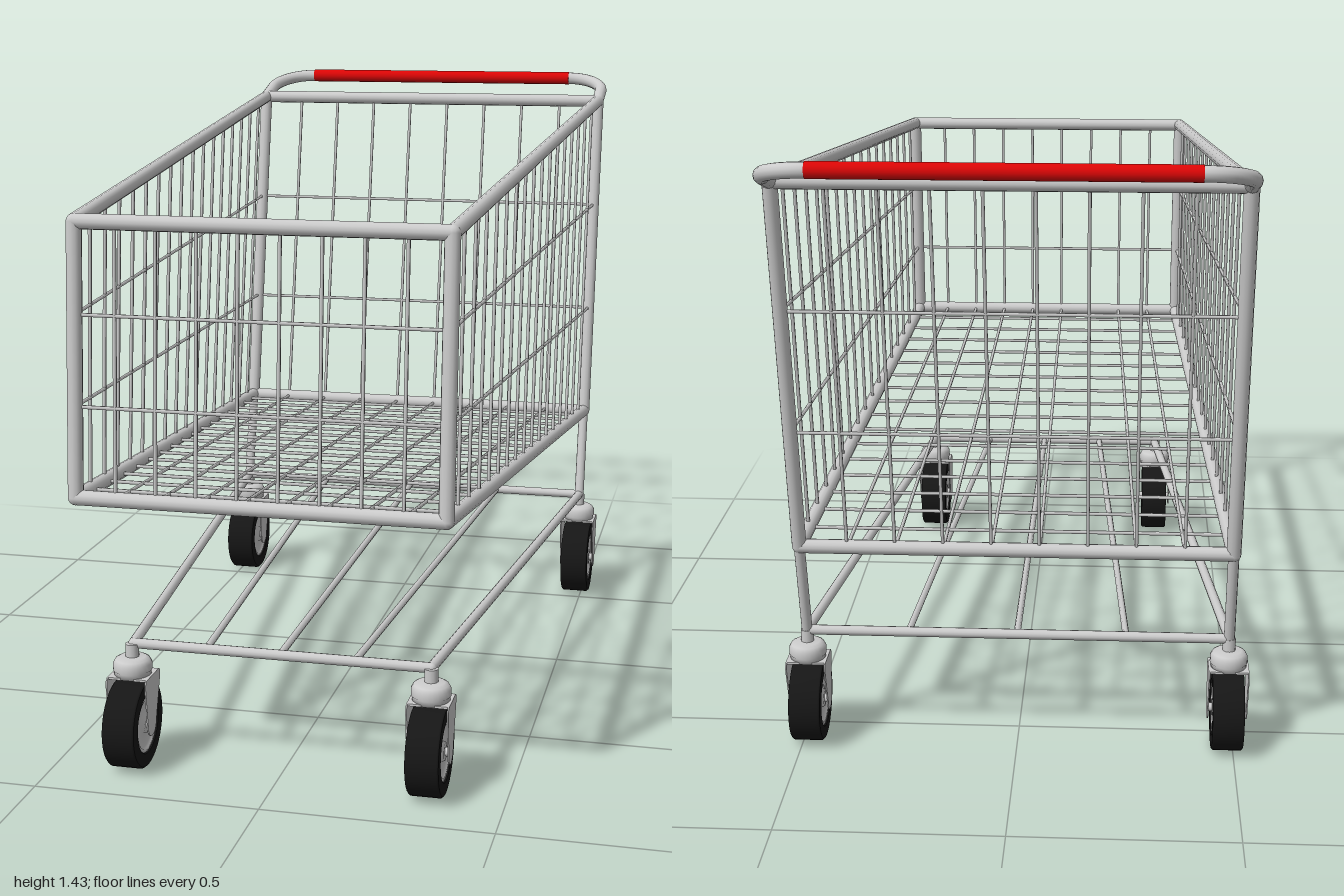
import * as THREE from 'three';
import { mergeGeometries } from 'three/addons/utils/BufferGeometryUtils.js';

const steel = new THREE.MeshStandardMaterial({ color: 0xcccccc });
const rubber = new THREE.MeshStandardMaterial({ color: 0x161616 });
const red = new THREE.MeshStandardMaterial({ color: 0xdd0606 });
const V = (x, y, z) => new THREE.Vector3(x, y, z);
const UP = V(0, 1, 0);

function mesh(name, geometry, material = steel) {
  const m = new THREE.Mesh(geometry, material);
  m.name = name;
  return m;
}

// Straight round bar between two points
function rod(a, b, r, sides = 12) {
  const d = b.clone().sub(a);
  const g = new THREE.CylinderGeometry(r, r, d.length(), sides);
  g.applyQuaternion(new THREE.Quaternion().setFromUnitVectors(UP, d.normalize()));
  const mid = a.clone().add(b).multiplyScalar(0.5);
  return g.translate(mid.x, mid.y, mid.z);
}

function ball(p, r) {
  return new THREE.SphereGeometry(r, 12, 8).translate(p.x, p.y, p.z);
}

// Wire grid across four corners: a-b is one edge, d-c the opposite one
function wirePanel(name, a, b, c, d, across, along) {
  const parts = [];
  for (let i = 1; i <= across; i++) {
    const t = i / (across + 1);
    parts.push(rod(a.clone().lerp(b, t), d.clone().lerp(c, t), 0.0042, 6));
  }
  for (let i = 1; i <= along; i++) {
    const t = i / (along + 1);
    parts.push(rod(a.clone().lerp(d, t), b.clone().lerp(c, t), 0.0042, 6));
  }
  return mesh(name, mergeGeometries(parts));
}

function makeBasket() {
  const basket = new THREE.Group();
  basket.name = 'basket';
  const corners = (s) => ({
    ft: V(s * 0.39, 1.217, 0.944), fb: V(s * 0.39, 0.647, 0.983),
    rt: V(s * 0.485, 1.363, -0.81), rb: V(s * 0.485, 0.506, -0.64),
  });
  const L = corners(1), R = corners(-1);

  // Heavy tube rim
  const r = 0.0165, rim = [];
  for (const S of [L, R]) {
    for (const [p, q] of [['ft', 'fb'], ['fb', 'rb'], ['rb', 'rt'], ['rt', 'ft']]) rim.push(rod(S[p], S[q], r));
  }
  for (const k of Object.keys(L)) rim.push(rod(R[k], L[k], r), ball(L[k], r), ball(R[k], r));
  basket.add(mesh('basketRim', mergeGeometries(rim)));

  // Wire walls and floor; wall wires line up with the floor wires
  const lengthWires = 8, crossWires = 16;
  basket.add(
    wirePanel('frontGrid', R.fb, L.fb, L.ft, R.ft, lengthWires, 2),
    wirePanel('rearGrid', R.rb, L.rb, L.rt, R.rt, lengthWires, 2),
    wirePanel('leftGrid', L.fb, L.rb, L.rt, L.ft, crossWires, 2),
    wirePanel('rightGrid', R.fb, R.rb, R.rt, R.ft, crossWires, 2),
    wirePanel('floorGrid', R.fb, L.fb, L.rb, R.rb, lengthWires, crossWires),
  );
  return basket;
}

function makeHandle() {
  const handle = new THREE.Group();
  handle.name = 'handle';
  // Half-bar points run from the basket corner round the bend
  const end = V(0.485, 1.363, -0.81), corner = V(0.485, 1.417, -0.983);
  const bendStart = end.clone().lerp(corner, 0.42), bendEnd = V(0.38, 1.417, -0.983);
  for (const s of [1, -1]) {
    const flip = (p) => V(p.x * s, p.y, p.z);
    const path = new THREE.CurvePath();
    path.add(new THREE.LineCurve3(flip(end), flip(bendStart)));
    const k = 0.55;
    path.add(new THREE.CubicBezierCurve3(flip(bendStart), flip(bendStart.clone().lerp(corner, k)),
      flip(bendEnd.clone().lerp(corner, k)), flip(bendEnd)));
    handle.add(mesh(s > 0 ? 'leftHandleArm' : 'rightHandleArm', new THREE.TubeGeometry(path, 24, 0.0165, 12)));
  }
  handle.add(mesh('handleGrip', rod(V(-0.382, 1.417, -0.983), V(0.382, 1.417, -0.983), 0.0175, 16), red));
  return handle;
}

function makeUndercarriage() {
  const y = 0.276, zf = 0.825, zr = -0.582, r = 0.0115, parts = [];
  for (const s of [1, -1]) {
    const front = V(s * 0.332, y, zf), rear = V(s * 0.485, y, zr);
    parts.push(rod(front, rear, r), ball(front, r), ball(rear, r));
    parts.push(rod(V(s * 0.485, 0.506, -0.64), rear, 0.0125)); // rear leg
    parts.push(rod(V(s * 0.165, y, zf), V(s * 0.25, y, zr), 0.008, 8));
  }
  parts.push(rod(V(0, y, zf), V(0, y, zr), 0.008, 8));
  parts.push(rod(V(-0.332, y, zf), V(0.332, y, zf), r), rod(V(-0.485, y, zr), V(0.485, y, zr), r));
  return mesh('lowerFrame', mergeGeometries(parts));
}

function lathe(points, segments = 32) {
  return new THREE.LatheGeometry(points.map(([x, y]) => new THREE.Vector2(x, y)), segments);
}

function makeCaster(name, x, z) {
  const caster = new THREE.Group();
  caster.name = name;
  const axleY = 0.098, axleZ = 0.011;

  // Swivel stem and domed cap
  caster.add(mesh('stem', rod(V(0, 0.235, 0), V(0, 0.277, 0), 0.015)));
  caster.add(mesh('swivelCap', lathe([[0, 0.205], [0.041, 0.205], [0.041, 0.217], [0.043, 0.219],
    [0.043, 0.234], [0.038, 0.243], [0.029, 0.248], [0, 0.249]], 24)));

  // Fork: a bridge with two tapering, rounded cheeks
  const cheek = new THREE.Shape();
  cheek.moveTo(-0.038, 0.209);
  cheek.lineTo(0.038, 0.209);
  cheek.quadraticCurveTo(0.049, 0.207, 0.048, 0.19);
  cheek.lineTo(axleZ + 0.026, axleY);
  cheek.absarc(axleZ, axleY, 0.026, 0, Math.PI, true);
  cheek.lineTo(-0.046, 0.19);
  cheek.quadraticCurveTo(-0.049, 0.207, -0.038, 0.209);
  const fork = [new THREE.BoxGeometry(0.09, 0.005, 0.076).toNonIndexed().translate(0, 0.2065, 0)];
  for (const s of [1, -1]) {
    const plate = new THREE.ExtrudeGeometry(cheek, { depth: 0.003, bevelEnabled: false, curveSegments: 10 });
    plate.translate(0, 0, -0.0015).rotateY(-Math.PI / 2).translate(s * 0.0445, 0, 0);
    fork.push(plate);
  }
  caster.add(mesh('fork', mergeGeometries(fork)));

  // Wheel: square-shouldered tyre, recessed hub and axle
  const wheel = new THREE.Group();
  wheel.name = 'wheel';
  wheel.position.set(0, axleY, axleZ);
  wheel.rotation.z = -Math.PI / 2;
  wheel.add(mesh('tyre', lathe([[0.062, -0.03], [0.066, -0.036], [0.066, -0.036], [0.094, -0.036], [0.094, -0.036],
    [0.098, -0.032], [0.098, 0.032], [0.094, 0.036], [0.094, 0.036], [0.066, 0.036], [0.066, 0.036],
    [0.062, 0.03]], 40), rubber));
  wheel.add(mesh('hub', lathe([[0, -0.034], [0.02, -0.034], [0.022, -0.027], [0.054, -0.027], [0.057, -0.033],
    [0.064, -0.033], [0.064, 0.033], [0.057, 0.033], [0.054, 0.027], [0.022, 0.027], [0.02, 0.034], [0, 0.034]])));
  wheel.add(mesh('axle', new THREE.CylinderGeometry(0.01, 0.01, 0.088, 12)));
  caster.add(wheel);
  caster.position.set(x, 0, z);
  return caster;
}

export function createModel() {
  const cart = new THREE.Group();
  cart.name = 'shoppingCart';
  cart.add(makeBasket(), makeHandle(), makeUndercarriage());
  for (const [side, s] of [['Left', 1], ['Right', -1]]) {
    cart.add(makeCaster(`front${side}Caster`, s * 0.333, 0.831));
    cart.add(makeCaster(`rear${side}Caster`, s * 0.485, -0.581));
  }
  return cart;
}
